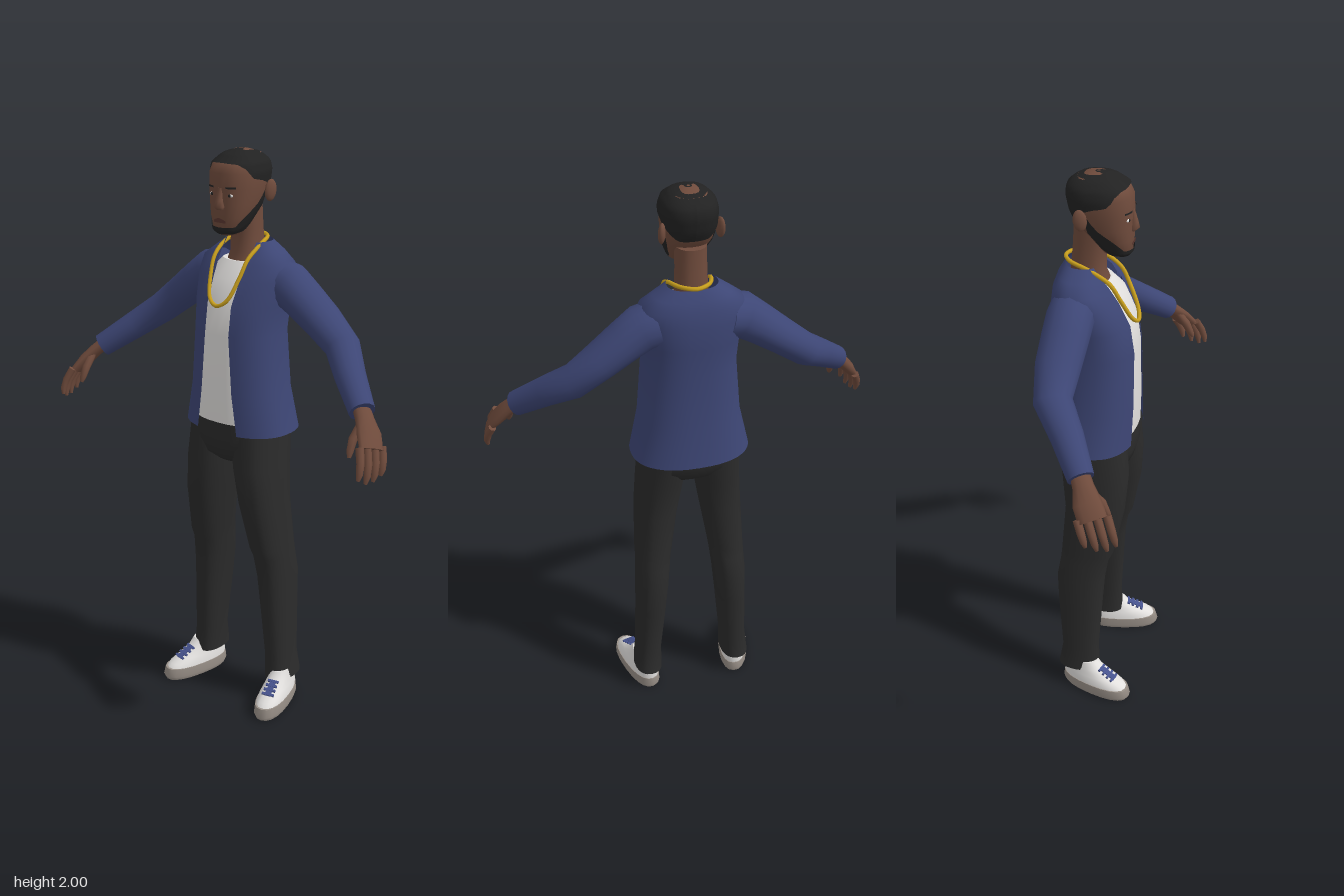
import * as THREE from 'three';

const V = (x, y, z) => new THREE.Vector3(x, y, z);
const E = 0.85; // slightly boxy ovals
const pw = (v) => Math.sign(v) * Math.abs(v) ** E;

function mat(name, color, side = THREE.FrontSide) {
  const m = new THREE.MeshStandardMaterial({ color, side });
  m.name = name;
  return m;
}

// Skin a list of equal-length rings of points; optional flat caps at both ends
function skin(rings, closed = true, caps = true) {
  const pos = [], idx = [], n = rings[0].length;
  rings.forEach((r) => r.forEach((p) => pos.push(p.x, p.y, p.z)));
  for (let i = 0; i < rings.length - 1; i++) {
    for (let j = 0; j < (closed ? n : n - 1); j++) {
      const k = (j + 1) % n, a = i * n + j, b = i * n + k;
      idx.push(a, b, b + n, a, b + n, a + n);
    }
  }
  if (closed && caps) {
    [rings[0], rings[rings.length - 1]].forEach((r, end) => {
      const base = pos.length / 3, c = V(0, 0, 0);
      r.forEach((p) => { pos.push(p.x, p.y, p.z); c.addScaledVector(p, 1 / n); });
      pos.push(c.x, c.y, c.z);
      for (let j = 0; j < n; j++) {
        const k = (j + 1) % n;
        if (end) idx.push(base + j, base + k, base + n);
        else idx.push(base + k, base + j, base + n);
      }
    });
  }
  const g = new THREE.BufferGeometry();
  g.setAttribute('position', new THREE.Float32BufferAttribute(pos, 3));
  g.setIndex(idx);
  g.computeVertexNormals();
  return g;
}

// Horizontal ovals: [y, half width, front z, back z, centre x, half opening at front]
function stack(rows, n = 20, open = false) {
  return skin(rows.map(([y, rx, f, b, cx = 0, gap = 0]) => {
    const t0 = open ? Math.asin(Math.min(1, (gap / rx) ** (1 / E))) : 0;
    return Array.from({ length: open ? n + 1 : n }, (_, j) => {
      const t = t0 + (j / n) * (2 * Math.PI - 2 * t0);
      return V(cx + rx * pw(Math.sin(t)), y, (f + b) / 2 + ((f - b) / 2) * pw(Math.cos(t)));
    });
  }), !open);
}

// Limb along a path: [x, y, z, radius across, radius thick]
function limb(rows, across, n = 12) {
  const pts = rows.map((r) => V(r[0], r[1], r[2]));
  return skin(rows.map((r, i) => {
    const w = pts[Math.min(i + 1, pts.length - 1)].clone().sub(pts[Math.max(i - 1, 0)]).normalize();
    const v = across.clone().cross(w).normalize(), u = w.clone().cross(v);
    return Array.from({ length: n }, (_, j) => {
      const t = (j / n) * 2 * Math.PI;
      return pts[i].clone().addScaledVector(u, r[3] * Math.sin(t)).addScaledVector(v, r[4] * Math.cos(t));
    });
  }));
}

function mirrored(geo) {
  const g = geo.clone().scale(-1, 1, 1), a = g.index.array;
  for (let i = 0; i < a.length; i += 3) [a[i], a[i + 1]] = [a[i + 1], a[i]];
  g.computeVertexNormals();
  return g;
}

const HEAD = [
  [1.73, .03, .062, 0], [1.745, .05, .074, -.02], [1.79, .068, .078, -.06], [1.83, .079, .078, -.1],
  [1.88, .086, .078, -.125], [1.93, .088, .076, -.135], [1.96, .08, .062, -.13],
  [1.985, .055, .025, -.1], [1.997, .022, -.01, -.06], [2, .001, -.034, -.036],
];

// Point on the head at height y and angle t (0 = front, positive to +x)
function onHead(t, y, off) {
  let i = 0;
  while (i < HEAD.length - 2 && y > HEAD[i + 1][0]) i++;
  const k = (y - HEAD[i][0]) / (HEAD[i + 1][0] - HEAD[i][0]);
  const [rx, f, b] = [1, 2, 3].map((c) => HEAD[i][c] + (HEAD[i + 1][c] - HEAD[i][c]) * k);
  return V((rx + off) * pw(Math.sin(t)), y, (f + b) / 2 + ((f - b) / 2 + off) * pw(Math.cos(t)));
}

// Thin patch hugging the head between two height curves
function patch(t0, t1, lo, hi, off = .004, n = 12, rows = 4) {
  return skin(Array.from({ length: rows + 1 }, (_, i) => Array.from({ length: n + 1 }, (_, j) => {
    const t = t0 + (t1 - t0) * (j / n);
    return onHead(t, lo(t) + (hi(t) - lo(t)) * (i / rows), off);
  })), false);
}

// Piecewise linear curve through [t, value] pairs, symmetric in t
const curve = (pts) => (t) => {
  const a = Math.abs(t);
  for (let i = 1; i < pts.length; i++) {
    const [p, q] = [pts[i - 1], pts[i]];
    if (a <= q[0]) return p[1] + (q[1] - p[1]) * Math.max(0, (a - p[0]) / (q[0] - p[0]));
  }
  return pts[pts.length - 1][1];
};

export function createModel() {
  const model = new THREE.Group();
  model.name = 'standingMan';
  const brown = mat('skin', 0x6f4b3c), lipBrown = mat('lips', 0x5a3730, THREE.DoubleSide);
  const navy = mat('jacketNavy', 0x3d4675, THREE.DoubleSide), white = mat('white', 0xe2e0de);
  const black = mat('trouserBlack', 0x2b2b2b), hair = mat('hairBlack', 0x222222, THREE.DoubleSide);
  const gold = mat('gold', 0xc9a01e), taupe = mat('soleTaupe', 0x999088), blue = mat('laceBlue', 0x46528c);

  const add = (name, geo, m) => {
    const mesh = new THREE.Mesh(geo, m);
    mesh.name = name;
    model.add(mesh);
  };
  const pair = (name, geo, m) => {
    add(name + 'Left', geo, m);
    add(name + 'Right', mirrored(geo), m);
  };
  const ball = (x, y, z, sx, sy, sz) => new THREE.SphereGeometry(1, 12, 8).scale(sx, sy, sz).translate(x, y, z);

  // Head, hair and beard
  add('head', stack(HEAD, 24), brown);
  add('neck', stack([[1.6, .065, .015, -.13], [1.66, .054, -.012, -.128], [1.74, .05, -.012, -.12], [1.82, .05, .0, -.115]]), brown);
  const hairline = curve([[0, 1.962], [.6, 1.96], [.95, 1.945], [1.25, 1.915], [1.6, 1.905], [2.1, 1.88], [2.6, 1.85], [3.2, 1.85]]);
  add('hair', patch(-Math.PI, Math.PI, hairline, () => 2, .004, 40, 12), hair);
  const beardTop = curve([[0, 1.757], [.9, 1.76], [1.2, 1.785], [1.5, 1.815], [1.7, 1.85], [1.85, 1.89], [2.05, 1.82]]);
  const beardLow = curve([[0, 1.733], [1, 1.735], [1.7, 1.742], [2.05, 1.765]]);
  add('beard', patch(-2.05, 2.05, beardLow, beardTop, .004, 36, 6), hair);

  // Face
  add('nose', stack([[1.815, .014, .086, .06], [1.825, .019, .097, .06], [1.845, .013, .093, .06], [1.885, .009, .08, .06]], 10), brown);
  add('lips', patch(-.3, .3, () => 1.773, curve([[0, 1.789], [.3, 1.78]]), .004), lipBrown);
  pair('eye', ball(.036, 1.862, .0685, .012, .0055, .005), white);
  pair('pupil', ball(.036, 1.862, .0725, .0055, .005, .003), hair);
  pair('eyebrow', patch(.22, .62, () => 1.884, () => 1.89, .003), hair);
  pair('ear', ball(0, 0, 0, .012, .036, .022).rotateY(-.35).rotateX(-.15).translate(.093, 1.868, -.07), brown);

  // Shirt and open jacket
  add('shirt', stack([[1.09, .16, .1, -.155], [1.2, .148, .103, -.155], [1.4, .138, .099, -.15], [1.5, .14, .084, -.155],
    [1.58, .13, .046, -.15], [1.635, .08, .004, -.13]], 28), white);
  add('jacket', stack([[1.055, .205, .106, -.195, 0, .085], [1.2, .173, .106, -.18, 0, .065], [1.4, .157, .101, -.172, 0, .05],
    [1.5, .163, .086, -.182, 0, .05], [1.58, .178, .048, -.182, 0, .055], [1.63, .172, .018, -.174, 0, .06],
    [1.665, .128, -.005, -.162, 0, .064], [1.697, .083, -.02, -.142, 0, .062]], 40, true), navy);
  pair('sleeve', limb([[.12, 1.57, -.085, .08, .075], [.165, 1.56, -.085, .079, .076], [.22, 1.522, -.085, .078, .068],
    [.3, 1.463, -.085, .075, .06], [.39, 1.392, -.075, .063, .055], [.47, 1.325, -.005, .053, .049],
    [.565, 1.248, .066, .043, .042]], V(0, 0, 1), 16), navy);

  // Gold chain
  const half = [[.035, 1.518, .088], [.06, 1.59, .053], [.069, 1.65, .018], [.07, 1.69, -.05], [.045, 1.703, -.12]];
  const chain = [V(0, 1.499, .098), ...half.map((p) => V(...p)), V(0, 1.704, -.145),
    ...half.slice().reverse().map(([x, y, z]) => V(-x, y, z))];
  add('necklace', new THREE.TubeGeometry(new THREE.CatmullRomCurve3(chain, true), 64, .007, 6, true), gold);

  // Hands: palm, four bent fingers and a thumb
  const across = V(-.35, .2, .9).normalize();
  pair('palm', limb([[.55, 1.265, .055, .03, .024], [.585, 1.23, .08, .034, .023], [.615, 1.195, .1, .046, .022],
    [.642, 1.155, .125, .046, .017]], across), brown);
  for (let i = 0; i < 4; i++) {
    const k = (i - 1.5) * .025, len = [.8, .95, 1, .9][i];
    const root = V(.638, 1.163, .122).addScaledVector(across, k);
    const row = (x, y, z, r) => [root.x + x * len, root.y + y * len, root.z + z * len + k * .25, r, r];
    pair('finger' + (i + 1), limb([row(0, 0, 0, .0135), row(.019, -.045, .02, .013), row(.025, -.08, .032, .011),
      row(.022, -.104, .037, .006)], across, 8), brown);
  }
  pair('thumb', limb([[.585, 1.22, .1, .016, .014], [.581, 1.18, .138, .015, .014], [.583, 1.145, .155, .012, .011],
    [.585, 1.127, .162, .006, .006]], V(1, 0, 0), 8), brown);

  // Trousers
  add('trouserSeat', stack([[.935, .07, .05, -.09], [.965, .14, .085, -.13], [1.01, .172, .098, -.165], [1.06, .172, .1, -.172],
    [1.115, .162, .096, -.16]], 24), black);
  pair('trouserLeg', stack([[.09, .051, .005, -.15, .17], [.18, .047, 0, -.135, .165], [.38, .053, .012, -.15, .152],
    [.5, .058, .02, -.155, .145], [.58, .06, .032, -.142, .138], [.62, .062, .05, -.138, .135], [.8, .073, .085, -.126, .117],
    [.93, .079, .094, -.14, .102], [1.06, .082, .085, -.16, .09]]), black);

  // Shoes, toes turned outward
  const place = (g) => g.rotateY(.25).translate(.193, 0, 0);
  pair('shoeSole', place(stack([[0, .05, .132, -.13], [.015, .055, .14, -.138], [.045, .053, .132, -.134]])), taupe);
  pair('shoeUpper', place(stack([[.04, .051, .128, -.131], [.058, .049, .112, -.132], [.075, .044, .075, -.13],
    [.1, .038, .025, -.126], [.13, .034, 0, -.12]])), white);
  for (let i = 0; i < 4; i++) {
    const lace = new THREE.BoxGeometry(.046 - i * .002, .007, .009).rotateX(.46);
    pair('lace' + (i + 1), place(lace.translate(0, .076 + i * .0085, .074 - i * .017)), blue);
  }
  pair('shoeTongue', place(new THREE.BoxGeometry(.022, .006, .066).rotateX(.46).translate(0, .088, .05)), blue);

  return model;
}
